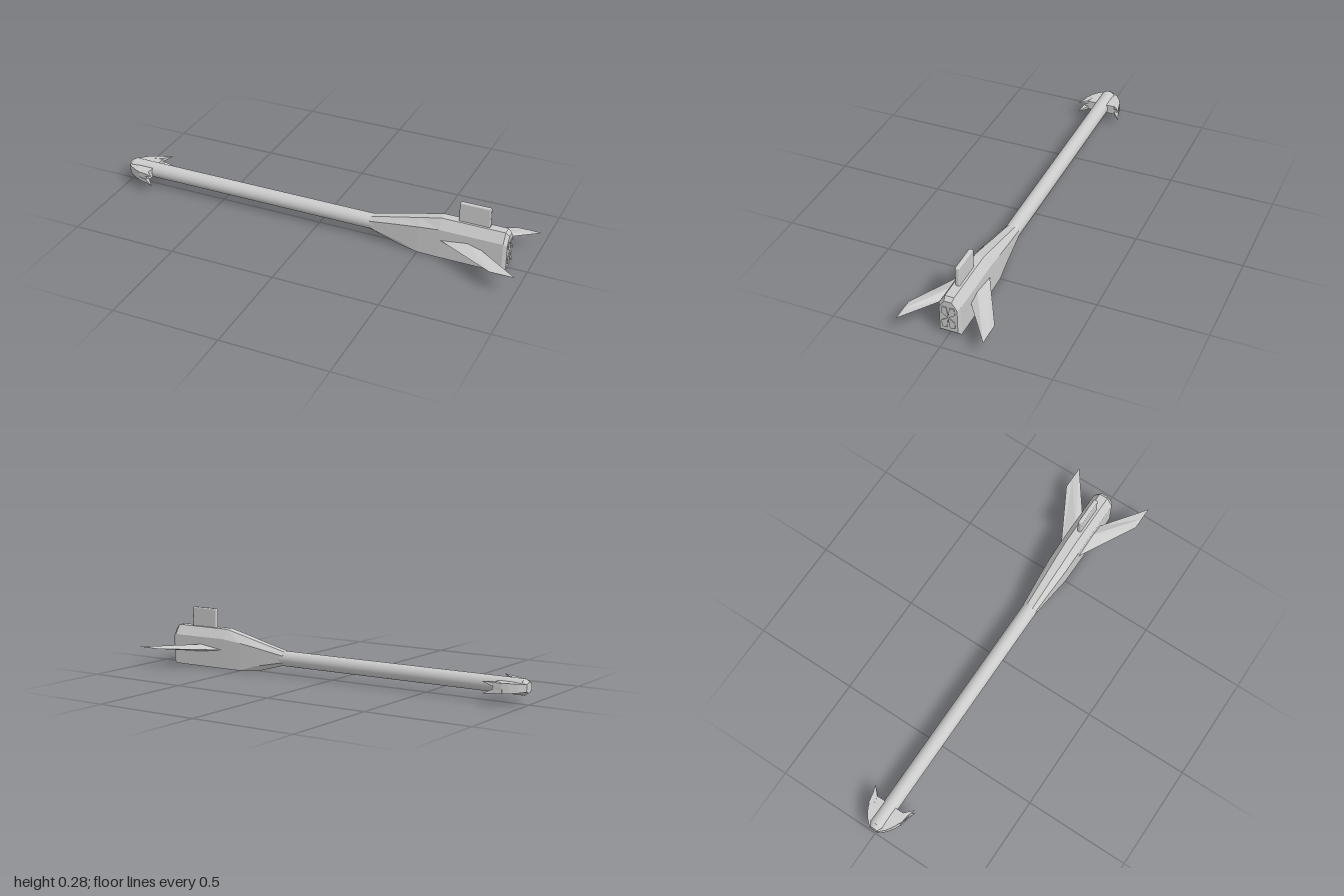
import * as THREE from 'three';

const flat = new THREE.MeshStandardMaterial({ color: 0xcccccc, flatShading: true, side: THREE.DoubleSide });
const smooth = new THREE.MeshStandardMaterial({ color: 0xcccccc });
const AXIS = 0.075; // height of the shaft axis

// Closed skin through rings of [x, y, z], each counter-clockwise about the travel direction
function loft(rings) {
  const pos = [], n = rings[0].length;
  const tri = (a, b, c) => pos.push(...a, ...b, ...c);
  for (let r = 0; r < rings.length - 1; r++) {
    const a = rings[r], b = rings[r + 1];
    for (let i = 0; i < n; i++) {
      const j = (i + 1) % n;
      tri(a[i], a[j], b[j]);
      tri(a[i], b[j], b[i]);
    }
  }
  const first = rings[0], last = rings[rings.length - 1];
  for (let i = 1; i < n - 1; i++) {
    tri(first[0], first[i + 1], first[i]);
    tri(last[0], last[i], last[i + 1]);
  }
  const g = new THREE.BufferGeometry();
  g.setAttribute('position', new THREE.Float32BufferAttribute(pos, 3));
  g.computeVertexNormals();
  return g;
}

// Mirror rings to the other side in z, keeping the faces outward
const side = (rings, s, reverse = s < 0) =>
  rings.map(r => {
    const m = r.map(([x, y, z]) => [x, y, z * s]);
    return reverse ? m.reverse() : m;
  });

export function createModel() {
  const model = new THREE.Group();
  const add = (name, geometry, material = flat) => {
    const mesh = new THREE.Mesh(geometry, material);
    mesh.name = name;
    model.add(mesh);
    return mesh;
  };

  // Long round shaft
  const shaft = add('shaft', new THREE.CylinderGeometry(0.036, 0.036, 1.3, 32), smooth);
  shaft.rotation.z = Math.PI / 2;
  shaft.position.set(-0.33, AXIS, 0);

  // Tapered nose with a blunt end
  const nose = add('nose', new THREE.CylinderGeometry(0.024, 0.036, 0.022, 32), smooth);
  nose.rotation.z = Math.PI / 2;
  nose.position.set(-0.989, AXIS, 0);

  // Tail body: [x, bottom, lower edge, shoulder, top, bottom half width, half width, top half width]
  const bodySections = [
    [0.26, 0.045, 0.06, 0.092, 0.108, 0.02, 0.034, 0.016],
    [0.41, 0.004, 0.03, 0.118, 0.143, 0.028, 0.044, 0.018],
    [0.50, 0, 0.002, 0.132, 0.165, 0.048, 0.049, 0.02],
    [0.60, 0, 0.002, 0.143, 0.188, 0.05, 0.05, 0.021],
    [0.895, 0, 0.002, 0.143, 0.188, 0.05, 0.05, 0.021],
    [0.912, 0.018, 0.02, 0.136, 0.172, 0.041, 0.041, 0.017],
  ];
  add('tailBody', loft(bodySections.map(([x, b, l, s, t, wb, w, wt]) => [
    [x, t, -wt], [x, t, wt], [x, s, w], [x, l, w],
    [x, b, wb], [x, b, -wb], [x, l, -w], [x, s, -w],
  ])));

  // Swept wings, thick at the root and thin at the tip
  const wing = [[0.04, 0.59, 0.72, 0.785, 0.018], [0.197, 0.885, 0.94, 1.0, 0.001]]
    .map(([z, x0, xm, x1, h]) => [[x1, 0.09, z], [xm, 0.09 + h, z], [x0, 0.09, z], [xm, 0.09 - h, z]]);
  add('leftWing', loft(side(wing, 1)));
  add('rightWing', loft(side(wing, -1)));

  // Upright fin with rounded corners
  const fin = new THREE.Shape();
  const r = 0.01;
  fin.moveTo(0.675, 0.18);
  fin.lineTo(0.82, 0.18);
  fin.lineTo(0.82, 0.28 - r);
  fin.quadraticCurveTo(0.82, 0.28, 0.82 - r, 0.28);
  fin.lineTo(0.675 + r, 0.28);
  fin.quadraticCurveTo(0.675, 0.28, 0.675, 0.28 - r);
  const finGeo = new THREE.ExtrudeGeometry(fin, {
    depth: 0.008, bevelEnabled: true, bevelSize: 0.006, bevelThickness: 0.006, bevelOffset: -0.006, bevelSegments: 3,
  });
  finGeo.translate(0, 0, -0.004);
  add('topFin', finGeo);

  // Four kite-shaped plates on the end face
  const kite = [[0, 0], [0.053, 0.007], [0.053, 0.026], [0.048, 0.03], [0.02, 0.03]];
  for (const sy of [1, -1]) for (const sz of [1, -1]) {
    const rings = [0.905, 0.916].map(x => {
      const ring = kite.map(([y, z]) => [x, 0.09 + y * sy, z * sz]);
      return sy * sz < 0 ? ring.reverse() : ring;
    });
    add('endPlate', loft(rings));
  }

  // Barbs on both sides of the nose, each ending in two hooked points
  const barbSections = [
    [-1.0, 0.01, 0.024, 0.016], [-0.975, 0.01, 0.05, 0.019],
    [-0.94, 0.01, 0.073, 0.022], [-0.91, 0.01, 0.085, 0.022], [-0.87, 0.01, 0.088, 0.022],
  ];
  const barb = barbSections.map(([x, z0, z1, h]) => [
    [x, AXIS + h, z0], [x, AXIS + h, z1], [x, AXIS - h, z1], [x, AXIS - h, z0],
  ]);
  const hookSections = [
    [-0.915, 0.06, 0.086, 0.004, 0.022],
    [-0.87, 0.07, 0.094, 0.008, 0.025],
    [-0.835, 0.104, 0.106, 0.025, 0.027],
  ];
  for (const s of [1, -1]) {
    const label = s > 0 ? 'left' : 'right';
    add(label + 'Barb', loft(side(barb, s)));
    for (const v of [1, -1]) {
      const hook = hookSections.map(([x, z0, z1, y0, y1]) => [
        [x, AXIS + v * y1, z0], [x, AXIS + v * y1, z1], [x, AXIS + v * y0, z1], [x, AXIS + v * y0, z0],
      ]);
      add(label + 'BarbHook', loft(side(hook, s, s * v < 0)));
    }
  }
  return model;
}
